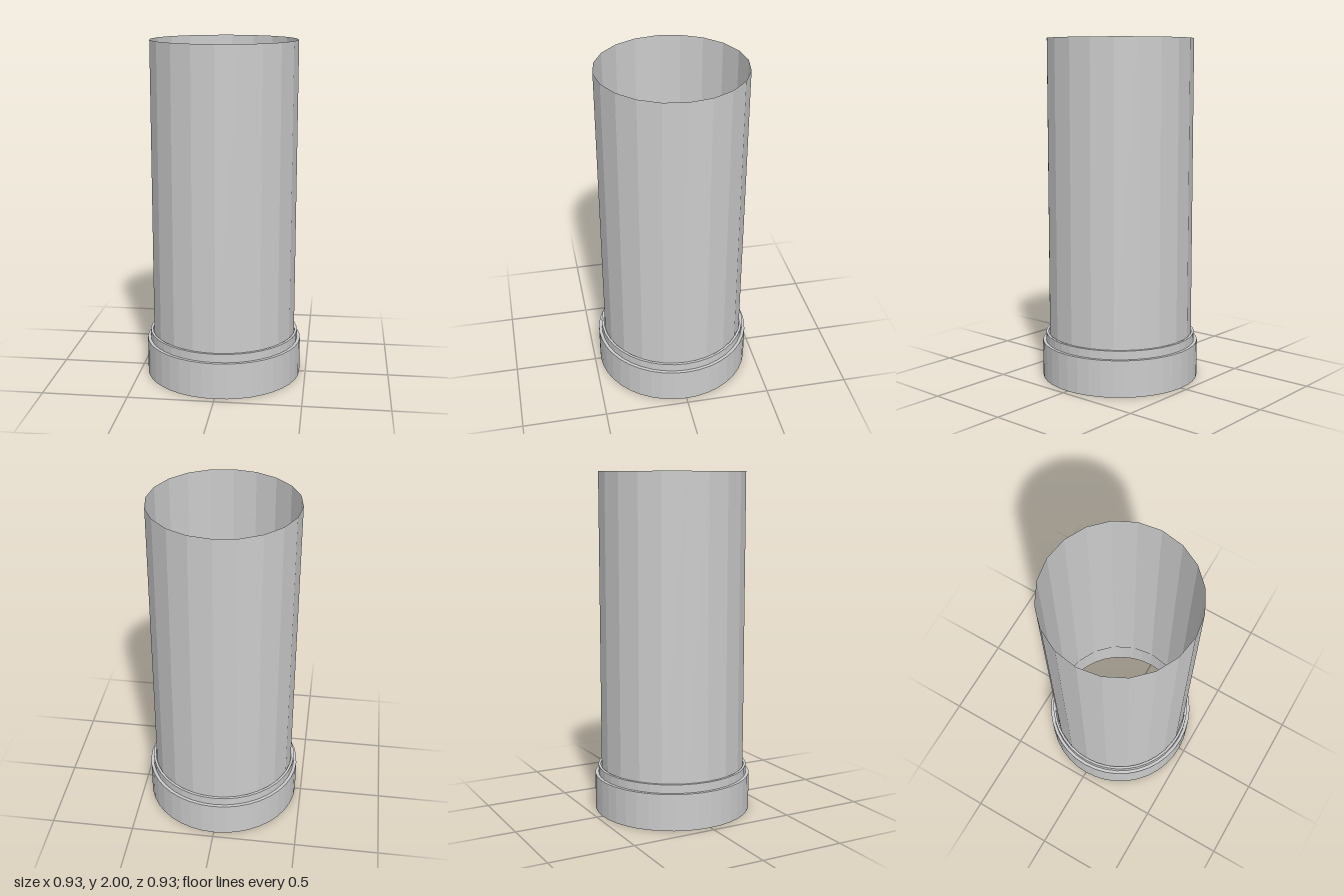
import * as THREE from 'three';

export function createModel() {
  const group = new THREE.Group();
  const material = new THREE.MeshStandardMaterial({
    color: 0xcccccc, flatShading: true, side: THREE.DoubleSide,
  });
  const add = (name, geometry) => {
    const mesh = new THREE.Mesh(geometry, material);
    mesh.name = name;
    group.add(mesh);
    return mesh;
  };

  // Thin open pipe, seated on top of the collar's lower band
  const bottom = 0.215, top = 2;
  add('pipe', new THREE.CylinderGeometry(0.427, 0.427, top - bottom, 20, 1, true))
    .position.y = (top + bottom) / 2;

  // Stepped collar: wide lower band, narrow upper lip, straight bore
  const profile = [
    [0.43, 0], [0.464, 0], [0.464, 0.215], [0.445, 0.215],
    [0.445, 0.265], [0.43, 0.265], [0.43, 0],
  ].map(([r, y]) => new THREE.Vector2(r, y));
  add('collar', new THREE.LatheGeometry(profile, 40));

  return group;
}
